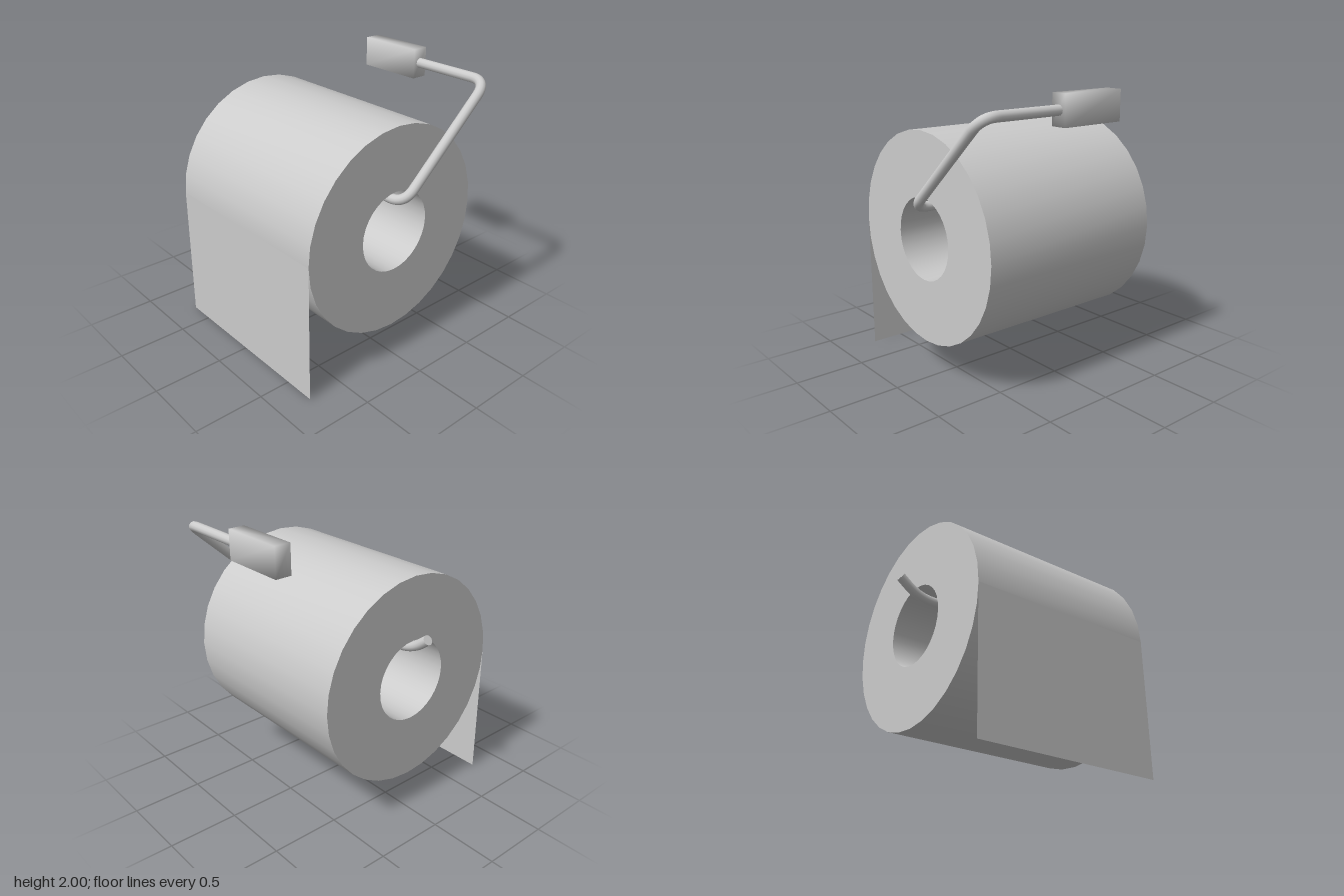
import * as THREE from 'three';
import { mergeVertices, toCreasedNormals } from 'three/addons/utils/BufferGeometryUtils.js';

const V = (x, y, z) => new THREE.Vector3(x, y, z);

export function createModel() {
  const group = new THREE.Group();
  const grey = new THREE.MeshStandardMaterial({ color: 0xcccccc });
  const thin = new THREE.MeshStandardMaterial({ color: 0xcccccc, side: THREE.DoubleSide });
  const add = (name, geometry, material = grey) => {
    const mesh = new THREE.Mesh(geometry, material);
    mesh.name = name;
    group.add(mesh);
    return mesh;
  };

  const left = 0.732, right = -0.688, width = left - right, midX = (left + right) / 2;
  const rollY = 1, rollZ = 0.029, rollR = 0.739, holeR = 0.29;

  // Paper roll: a ring extruded along x
  const ring = new THREE.Shape().absarc(0, 0, rollR, 0, Math.PI * 2);
  ring.holes.push(new THREE.Path().absarc(0, 0, holeR, 0, Math.PI * 2, true));
  const roll = new THREE.ExtrudeGeometry(ring, { depth: width, bevelEnabled: false, curveSegments: 16 });
  roll.translate(0, 0, -width / 2).rotateY(Math.PI / 2);
  add('paperRoll', toCreasedNormals(roll, 0.6)).position.set(midX, rollY, rollZ);

  // Loose sheet hanging from the front of the roll
  add('hangingSheet', new THREE.PlaneGeometry(width, rollY), thin)
    .position.set(midX, rollY / 2, rollZ + rollR);

  // Wall mount: a block with normals shared round its corners
  const block = new THREE.BoxGeometry(0.49, 0.21, 0.118);
  block.deleteAttribute('normal');
  block.deleteAttribute('uv');
  const mount = mergeVertices(block);
  mount.computeVertexNormals();
  add('wallMount', mount).position.set(-0.045, 1.895, -0.71);

  // Bent rod: straight runs joined by rounded corners
  const corners = [
    V(0.15, 1.895, -0.712), V(0.8, 1.895, -0.712), V(0.8, 1.225, 0.029),
    V(-0.67, 1.225, 0.029), V(-0.815, 1.337, 0.029),
  ];
  const path = new THREE.CurvePath();
  let from = corners[0];
  for (let i = 1; i < corners.length - 1; i++) {
    const c = corners[i];
    const toward = (p) => c.clone().add(p.clone().sub(c).setLength(0.12));
    const a = toward(corners[i - 1]), b = toward(corners[i + 1]);
    path.add(new THREE.LineCurve3(from, a));
    path.add(new THREE.QuadraticBezierCurve3(a, c, b));
    from = b;
  }
  const tip = corners[corners.length - 1];
  path.add(new THREE.LineCurve3(from, tip));
  add('holderRod', new THREE.TubeGeometry(path, 160, 0.035, 12));

  // Flat cap on the upturned tip
  const cap = add('rodTip', new THREE.CircleGeometry(0.035, 12), thin);
  cap.position.copy(tip);
  cap.quaternion.setFromUnitVectors(V(0, 0, 1), tip.clone().sub(corners[3]).normalize());

  return group;
}
